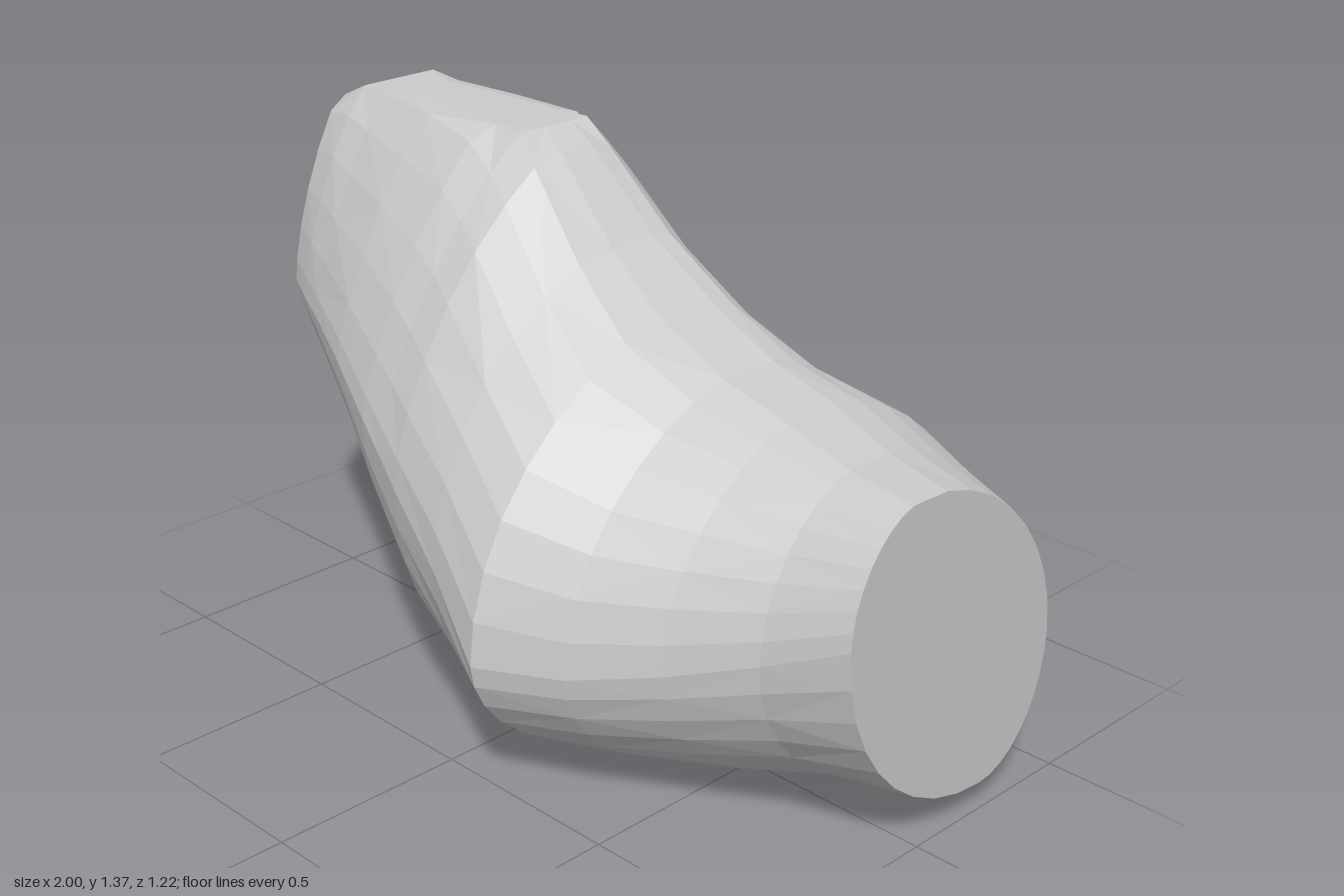
import * as THREE from 'three';

// Each station along x: [x, topY, topZ, frontY, frontZ, bottomY, bottomZ, backY, backZ]
const STATIONS = [
  [-1.0, 1.32, -0.17, 0.86, 0.14, 0.565, -0.07, 0.77, -0.40],
  [-0.9, 1.365, -0.17, 0.85, 0.19, 0.52, -0.07, 0.77, -0.415],
  [-0.8, 1.365, -0.165, 0.84, 0.235, 0.47, -0.07, 0.77, -0.43],
  [-0.6, 1.365, -0.155, 0.80, 0.325, 0.385, -0.04, 0.77, -0.50],
  [-0.4, 1.365, -0.145, 0.73, 0.41, 0.25, 0.02, 0.765, -0.58],
  [-0.3, 1.365, -0.15, 0.68, 0.445, 0.165, 0.04, 0.735, -0.55],
  [-0.2, 1.33, -0.12, 0.63, 0.48, 0.085, 0.05, 0.70, -0.52],
  [0.0, 1.15, -0.12, 0.52, 0.54, 0.025, 0.03, 0.60, -0.47],
  [0.2, 1.03, -0.11, 0.37, 0.605, 0.0, 0.02, 0.52, -0.47],
  [0.4, 0.95, -0.08, 0.38, 0.51, 0.015, 0.0, 0.48, -0.54],
  [0.6, 0.905, -0.05, 0.43, 0.41, 0.035, -0.07, 0.46, -0.61],
  [0.8, 0.87, 0.0, 0.50, 0.32, 0.07, -0.16, 0.43, -0.53],
  [1.0, 0.865, 0.05, 0.59, 0.265, 0.07, -0.22, 0.38, -0.44],
];
// Per station: [upper power, lower power, height the arc would reach above its flat top]
const ROUNDNESS = [
  [1.35, 1.45, 0.15], [1.42, 1.3, 0.14], [1.48, 1.2, 0.13], [1.5, 1.05, 0.13],
  [1.5, 0.95, 0.12], [1.4, 0.95, 0.06], [1.32, 0.95, 0.04], [1.13, 1.0, 0.03],
  [1.05, 1.1, 0.02], [1.07, 1.12, 0.01], [1.07, 1.1, 0.01], [1.07, 1.05, 0.01], [1.05, 1, 0.005],
];
const SIDES = 36;

// Cross-section of four quarter arcs joining the front, top, back and bottom points
function ring([x, topY, topZ, frontY, frontZ, bottomY, bottomZ, backY, backZ], i) {
  const [upperPower, lowerPower, overshoot] = ROUNDNESS[i];
  const points = [];
  for (let j = 0; j < SIDES; j++) {
    const a = (j / SIDES) * Math.PI * 2;
    const upper = j < SIDES / 2;
    const power = upper ? upperPower : lowerPower;
    const c = Math.abs(Math.cos(a)) ** power;
    const s = Math.abs(Math.sin(a)) ** power;
    const [poleY, poleZ] = upper ? [topY + overshoot, topZ] : [bottomY, bottomZ];
    const [sideY, sideZ] = Math.cos(a) >= 0 ? [frontY, frontZ] : [backY, backZ];
    const y = sideY + (poleY - sideY) * s;
    const z = poleZ + (sideZ - poleZ) * c;
    points.push(new THREE.Vector3(x, Math.min(y, topY), z));
  }
  return points;
}

function surface(name, triangles, material) {
  const geometry = new THREE.BufferGeometry().setFromPoints(triangles);
  geometry.computeVertexNormals();
  const mesh = new THREE.Mesh(geometry, material);
  mesh.name = name;
  return mesh;
}

// Flat end closing a ring
function cap(points, facesPlusX) {
  const centre = new THREE.Vector3();
  points.forEach((p) => centre.addScaledVector(p, 1 / points.length));
  return points.flatMap((p, j) => {
    const next = points[(j + 1) % points.length];
    return facesPlusX ? [centre, next, p] : [centre, p, next];
  });
}

export function createModel() {
  const group = new THREE.Group();
  group.name = 'bentBody';
  const material = new THREE.MeshStandardMaterial({ color: 0xcccccc, flatShading: true });
  const rings = STATIONS.map(ring);

  // Faceted skin between neighbouring rings, diagonals alternating
  const skin = [];
  for (let i = 0; i < rings.length - 1; i++) {
    for (let j = 0; j < SIDES; j++) {
      const k = (j + 1) % SIDES;
      const a = rings[i][j], b = rings[i + 1][j], c = rings[i + 1][k], d = rings[i][k];
      if ((i + j) % 2) skin.push(a, b, c, a, c, d);
      else skin.push(a, b, d, b, c, d);
    }
  }
  group.add(surface('skin', skin, material));

  // Cut ends
  group.add(surface('rightEnd', cap(rings[0], false), material));
  group.add(surface('leftEnd', cap(rings[rings.length - 1], true), material));
  return group;
}
